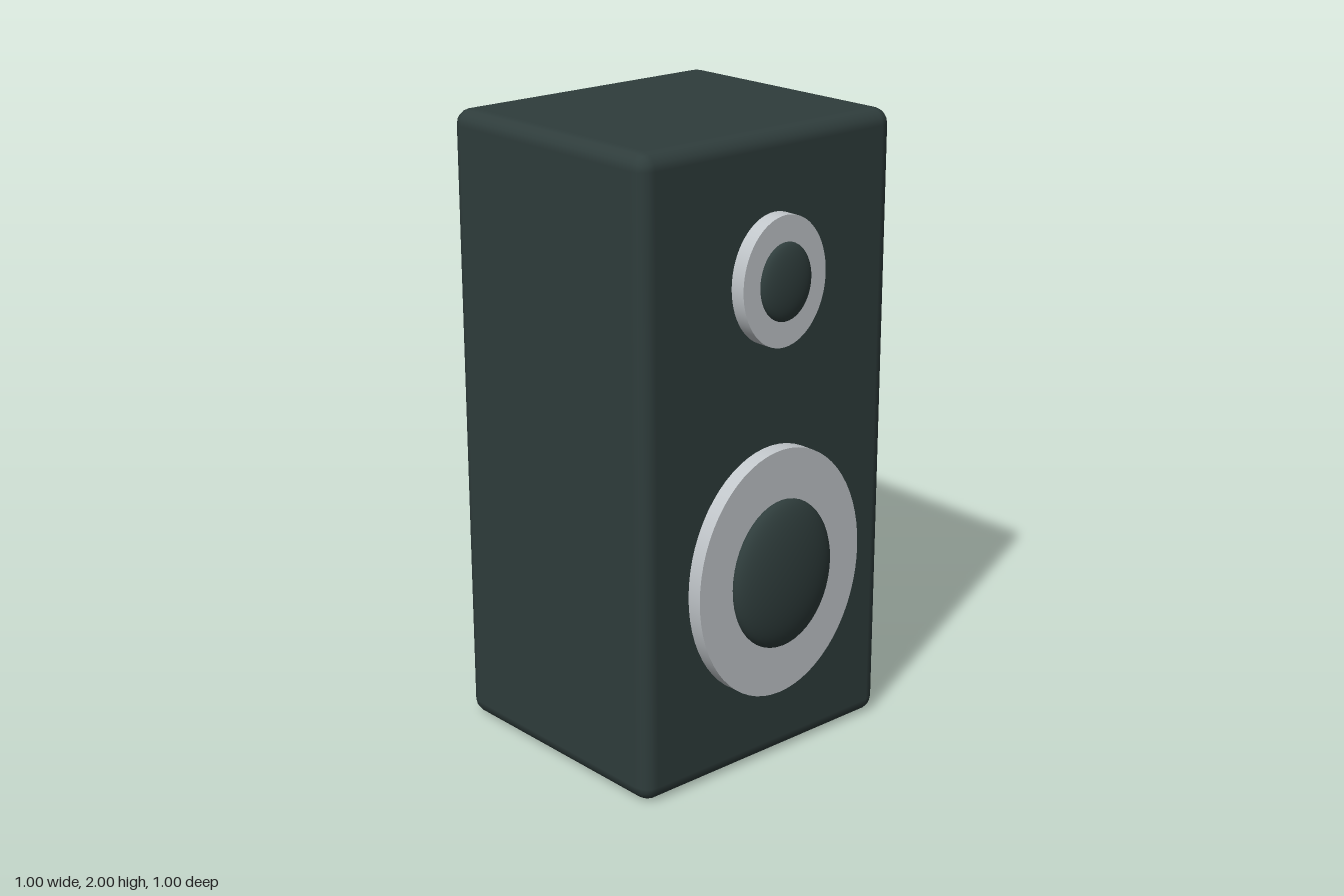
import * as THREE from 'three';
import { RoundedBoxGeometry } from 'three/addons/geometries/RoundedBoxGeometry.js';

export function createModel() {
  const model = new THREE.Group();
  model.name = 'loudspeaker';

  const darkGreen = new THREE.MeshStandardMaterial({ name: 'darkGreen', color: 0x2f3d3c });
  const lightGrey = new THREE.MeshStandardMaterial({ name: 'lightGrey', color: 0xc2c7cb });

  // Cabinet with softened edges
  const cabinet = new THREE.Mesh(new RoundedBoxGeometry(1, 2, 0.88, 2, 0.05), darkGreen);
  cabinet.name = 'cabinet';
  cabinet.position.set(0, 1, -0.06);
  model.add(cabinet);

  // Driver: an oval rim plate with a flattened dome through its middle
  function addDriver(name, y, rimX, rimY, domeX, domeY, domeZ) {
    const driver = new THREE.Group();
    driver.name = name;
    driver.position.set(0, y, 0.437);

    const rimGeometry = new THREE.CylinderGeometry(1, 1, 0.05, 64).rotateX(Math.PI / 2);
    const rim = new THREE.Mesh(rimGeometry.scale(rimX, rimY, 1), lightGrey);
    rim.name = name + 'Rim';
    rim.position.z = -0.027;

    const domeGeometry = new THREE.SphereGeometry(1, 48, 32).rotateX(Math.PI / 2);
    const dome = new THREE.Mesh(domeGeometry.scale(domeX, domeY, domeZ), darkGreen);
    dome.name = name + 'Dome';

    driver.add(rim, dome);
    model.add(driver);
  }

  addDriver('woofer', 0.643, 0.332, 0.4, 0.2, 0.24, 0.062);
  addDriver('tweeter', 1.563, 0.166, 0.2, 0.1, 0.12, 0.031);

  return model;
}
